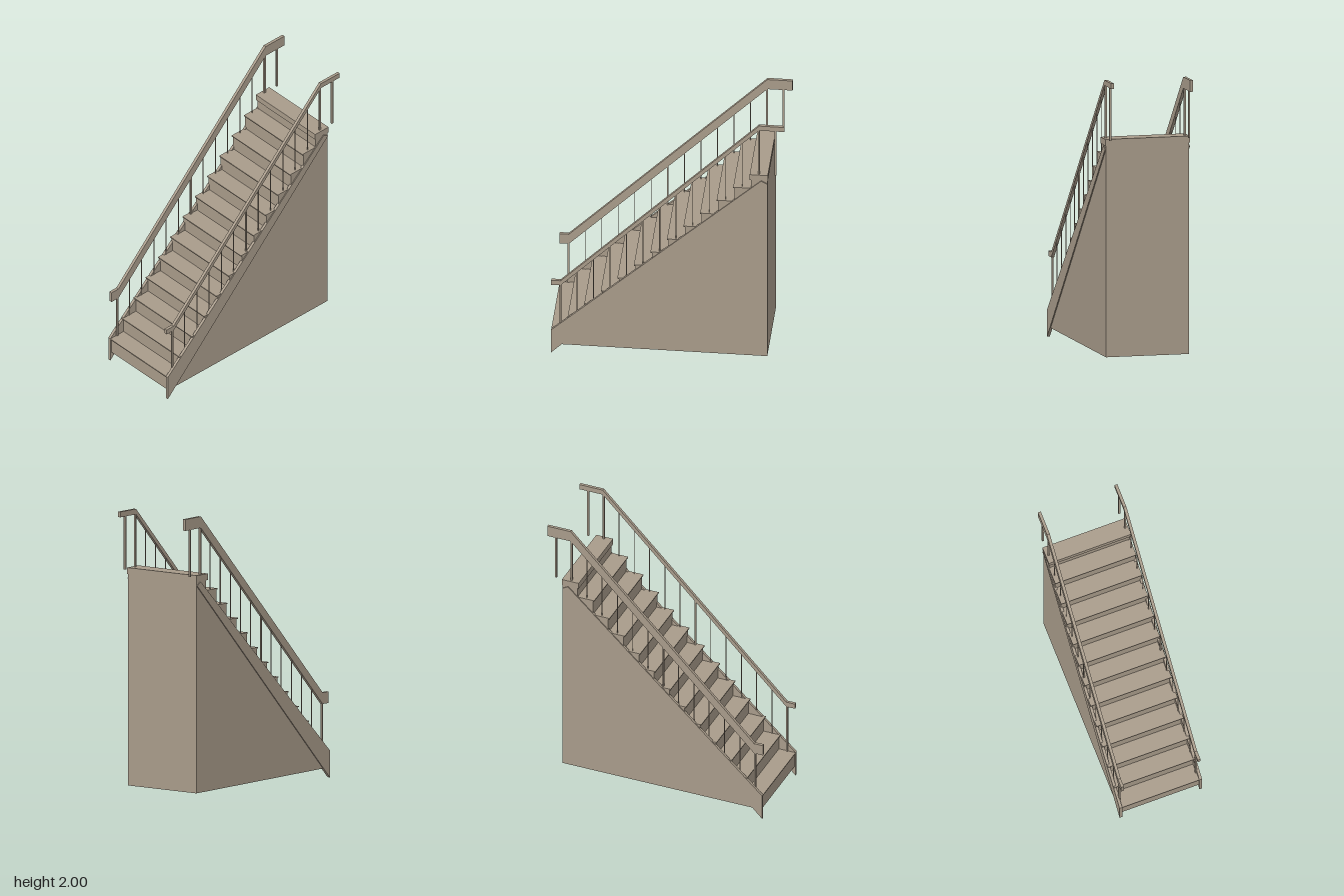
import * as THREE from 'three';

const STEPS = 13, RUN = 0.115, RISE = 0.117;
const FRONT = 0.81, BACK = -0.692, FIRST = 0.19, BASE = 0.07;
const RAIL_X = 0.283;

export function createModel() {
  const group = new THREE.Group();
  group.name = 'staircase';
  const material = new THREE.MeshStandardMaterial({ color: 0xa89b8a, flatShading: true });

  const add = (name, geometry, parent = group) => {
    const mesh = new THREE.Mesh(geometry, material);
    mesh.name = name;
    parent.add(mesh);
    return mesh;
  };

  // Extrude a side outline of [z, y] points across x, centred on x
  const sidePlate = (points, width, x = 0) => {
    const shape = new THREE.Shape(points.map(([z, y]) => new THREE.Vector2(-z, y)));
    return new THREE.ExtrudeGeometry(shape, { depth: width, bevelEnabled: false })
      .translate(0, 0, -width / 2).rotateY(Math.PI / 2).translate(x, 0, 0);
  };

  const box = (w, h, d, x, y, z) => new THREE.BoxGeometry(w, h, d).translate(x, y, z);
  const treadY = (i) => FIRST + i * RISE;
  const treadZ = (i) => FRONT - i * RUN;

  // Solid stepped body, closed down to its base
  const outline = [[BACK, BASE], [FRONT - 0.01, BASE]];
  for (let i = 0; i < STEPS; i++) {
    const riserZ = treadZ(i) - 0.01;
    const nextZ = i === STEPS - 1 ? BACK : treadZ(i + 1) - 0.01;
    outline.push([riserZ, treadY(i) - 0.002], [nextZ, treadY(i) - 0.002]);
  }
  add('steppedBody', sidePlate(outline, 0.596));

  // Treads with a small nosing; the landing edge is thicker
  const treads = new THREE.Group();
  treads.name = 'treads';
  group.add(treads);
  for (let i = 0; i < STEPS; i++) {
    const last = i === STEPS - 1;
    const h = last ? 0.045 : 0.008;
    const front = treadZ(i);
    const back = last ? BACK - 0.004 : treadZ(i + 1) - 0.012;
    add(last ? 'landing' : 'tread',
      box(last ? 0.608 : 0.6, h, front - back, 0, treadY(i) - h / 2, (front + back) / 2), treads);
  }

  // Handrails, stringers and balusters; the rail on the right is deeper
  for (const [side, label, depth] of [[1, 'left', 0.038], [-1, 'right', 0.08]]) {
    add(label + 'Stringer', sidePlate(
      [[FRONT, 0], [FRONT, FIRST], [-0.65, 1.545], [BACK, 1.522]], 0.02, side * 0.295));

    const top = [[FRONT, 0.6], [0.745, 0.6], [-0.635, 2], [-0.81, 2]];
    const bottom = top.map(([z, y]) => [z, y - depth]).reverse();
    add(label + 'Handrail', sidePlate([...top, ...bottom], 0.021, side * RAIL_X));

    const balusters = new THREE.Group();
    balusters.name = label + 'Balusters';
    group.add(balusters);
    for (let i = 0; i <= STEPS; i++) {
      const z = 0.748 - i * RUN;
      const foot = treadY(Math.min(i, STEPS - 1)) - 0.004;
      const railTop = Math.min(2, 0.6 + Math.max(0, 0.745 - z) * 1.4 / 1.38);
      const head = railTop - depth + 0.01;
      const post = i === 0 || i >= STEPS - 1;
      const w = post ? 0.013 : i === 6 ? 0.01 : 0.005;
      add(post ? 'post' : 'baluster',
        box(w, head - foot, w, side * RAIL_X, (head + foot) / 2, z), balusters);
    }
  }
  return group;
}
